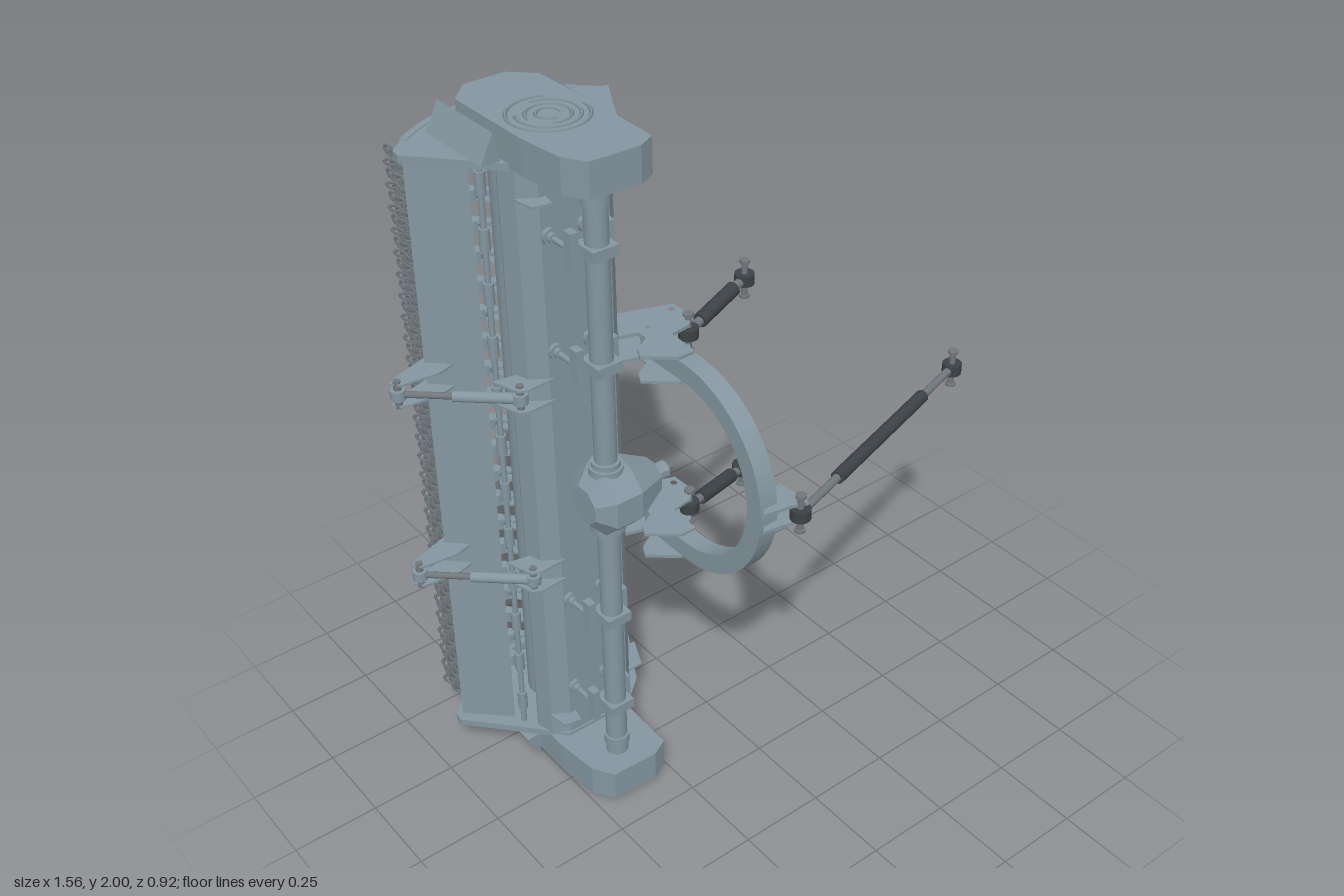
import * as THREE from 'three';
import { mergeGeometries } from 'three/addons/utils/BufferGeometryUtils.js';

const steel = new THREE.MeshStandardMaterial({ color: 0x8496a0 });
const facet = new THREE.MeshStandardMaterial({ color: 0x8496a0, flatShading: true });
const dark = new THREE.MeshStandardMaterial({ color: 0x3c4246 });
const rodGrey = new THREE.MeshStandardMaterial({ color: 0x70777b });
const V = (x, y, z) => new THREE.Vector3(x, y, z);
const ROTOR = { x: -0.375, z: -0.27 };

export function createModel() {
  const model = new THREE.Group();
  const add = (name, geo, mat = steel) => {
    const mesh = new THREE.Mesh(geo, mat);
    mesh.name = name;
    model.add(mesh);
  };
  // Outline in x and z with round holes, extruded from height y0 to y1
  const slab = (pts, y0, y1, holes = []) => {
    const shape = new THREE.Shape(pts.map(([x, z]) => new THREE.Vector2(x, -z)));
    shape.holes = holes.map(([x, z, r]) => new THREE.Path().absarc(x, -z, r, 0, Math.PI * 2, true));
    return new THREE.ExtrudeGeometry(shape, { depth: y1 - y0, bevelEnabled: false, curveSegments: 6 })
      .rotateX(-Math.PI / 2).translate(0, y0, 0);
  };
  const slabPair = (name, pts, y0, y1, holes) => {
    add(name + 'Upper', slab(pts, y0, y1, holes));
    add(name + 'Lower', slab(pts, 2 - y1, 2 - y0, holes));
  };
  // Round bar between two points
  const bar = (a, b, r, sides = 12) => {
    const d = b.clone().sub(a);
    const q = new THREE.Quaternion().setFromUnitVectors(V(0, 1, 0), d.clone().normalize());
    const mid = a.clone().add(b).multiplyScalar(0.5);
    return new THREE.CylinderGeometry(r, r, d.length(), sides).applyQuaternion(q).translate(mid.x, mid.y, mid.z);
  };
  const upright = (x, z, y0, y1, r, sides) => bar(V(x, y0, z), V(x, y1, z), r, sides);
  const box = (w, h, d, x, y, z) => new THREE.BoxGeometry(w, h, d).translate(x, y, z);
  const arc = (r, half, n = 24) => Array.from({ length: n + 1 }, (_, i) => {
    const a = (-half + (2 * half * i) / n) * Math.PI / 180;
    return [-0.375 + r * Math.sin(a), -0.031 - r * Math.cos(a)];
  });

  // Bent sheet hood and hinged door, open towards the back
  const sheet = (name, pts) => {
    const inner = pts.map(([x, z]) => [ROTOR.x + (x - ROTOR.x) * 0.96, z - 0.012]).reverse();
    add(name, slab([...pts, ...inner], 0.1, 1.9));
  };
  sheet('hood', [[-0.51, -0.14], [-0.495, -0.09], [-0.45, -0.06], [-0.25, -0.06], [-0.2, -0.116],
    [-0.182, -0.185], [-0.138, -0.285], [-0.128, -0.3], [-0.066, -0.308]]);
  sheet('door', [[-0.655, -0.32], [-0.6, -0.265], [-0.545, -0.21]]);

  // End plates and curved skids
  slabPair('endPlate', [...arc(0.42, 45), [-0.058, -0.32], [-0.11, -0.23], [-0.17, -0.12], [-0.25, -0.055],
    [-0.46, -0.055], [-0.56, -0.17], [-0.676, -0.3]], 1.89, 1.91);
  slabPair('skid', [...arc(0.424, 37), ...arc(0.405, 37).reverse()], 1.86, 1.912);

  // Belt covers with ring vents, side guards and bearing blocks
  slabPair('beltCover', [[-0.44, -0.38], [-0.32, -0.38], [-0.26, -0.32], [-0.255, -0.1], [-0.26, 0.13], [-0.31, 0.155],
    [-0.45, 0.15], [-0.485, 0.09], [-0.5, -0.04], [-0.5, -0.32]], 1.9, 1.995);
  slabPair('bearingBlock', [[-0.405, -0.435], [-0.345, -0.435], [-0.345, -0.37], [-0.405, -0.37]], 1.9, 1.916);
  for (const top of [true, false]) {
    const Y = (y) => (top ? y : 2 - y);
    const rings = [0.1, 0.078, 0.055, 0.03].map((r, i) => new THREE.TorusGeometry(r, 0.005, 4, 24, 5.2)
      .rotateX(Math.PI / 2).rotateY(i * 1.6).translate(-0.375, Y(1.995), -0.115));
    add('coverVent', mergeGeometries(rings));
    for (const [x0, tip, x1] of [[-0.25, -0.242, -0.195], [-0.507, -0.522, -0.56]]) {
      const s = new THREE.Shape([[x0, 1.91], [tip, 1.985], [x1, 1.91]].map(([x, y]) => new THREE.Vector2(x, Y(y))));
      add('sideGuard', new THREE.ExtrudeGeometry(s, { depth: 0.24, bevelEnabled: false }).translate(0, 0, -0.365));
    }
  }

  // Rotor with three rows of flails
  add('rotor', upright(ROTOR.x, ROTOR.z, 0.11, 1.89, 0.07, 24));
  const flails = [];
  for (let row = 0; row < 3; row++) {
    for (let i = 0; i < 20; i++) {
      const parts = [box(0.05, 0.007, 0.024, 0.09, 0.013, 0), box(0.05, 0.007, 0.024, 0.09, -0.013, 0),
        new THREE.CylinderGeometry(0.017, 0.017, 0.034, 8).translate(0.118, 0, 0),
        box(0.04, 0.016, 0.02, 0.137, 0, 0)];
      flails.push(mergeGeometries(parts).rotateY((15 + row * 120) * Math.PI / 180)
        .translate(ROTOR.x, 0.17 + i * 0.085 + row * 0.02, ROTOR.z));
    }
  }
  add('flails', mergeGeometries(flails));

  // Chain curtains along both edges of the opening
  const link = new THREE.TorusGeometry(0.0115, 0.004, 4, 8).scale(1, 1.7, 1).rotateX(Math.PI / 2);
  const turned = link.clone().rotateZ(Math.PI / 2);
  for (const [x, shift] of [[-0.087, 0], [-0.625, 0.015]]) {
    const links = [];
    for (let i = 0; i < 56; i++) {
      for (let k = 0; k < 5; k++) {
        links.push(((k + i) % 2 ? turned : link).clone().translate(x, 0.125 + shift + i * 0.0312, -0.341 - k * 0.0245));
      }
    }
    add('chainCurtain', mergeGeometries(links), rodGrey);
    add('chainRail', box(0.026, 1.78, 0.012, x, 1, -0.327));
  }

  // Cross tube with flanges, collars and clamps
  const TX = -0.378, TZ = 0.065;
  add('driveTube', upright(TX, TZ, 0.1, 1.9, 0.03, 20));
  for (const s of [-1, 1]) {
    add('tubeFlange', upright(TX, TZ, 1 + s * 0.84, 1 + s * 0.87, 0.036, 16));
    add('tubeSocket', upright(TX, TZ, 1 + s * 0.87, 1 + s * 0.91, 0.032, 16));
    add('gearboxCollar', upright(TX, TZ, 1 + s * 0.08, 1 + s * 0.1, 0.047, 16));
    add('gearboxNeck', upright(TX, TZ, 1 + s * 0.1, 1 + s * 0.115, 0.039, 16));
    for (const d of [0.4, 0.72]) {
      const y = 1 + s * d;
      const parts = [box(0.075, 0.03, 0.075, TX, y, TZ), box(0.12, 0.022, 0.02, TX, y, 0.03)];
      for (const x of [TX - 0.052, TX + 0.052]) {
        parts.push(box(0.022, 0.1, 0.03, x, y, 0.035), bar(V(x, y, 0.04), V(x, y, -0.065), 0.008, 8),
          bar(V(x, y, -0.035), V(x, y, -0.048), 0.014, 8), bar(V(x, y, -0.048), V(x, y, -0.065), 0.022, 8));
      }
      add('tubeClamp', mergeGeometries(parts));
    }
  }

  // Eight-sided gearbox with input shaft
  const gear = [[0, -0.45], [0.055, -0.45], [0.1, -0.41], [0.1, -0.33], [0.05, -0.235], [0.024, -0.235],
    [0.024, -0.19], [0, -0.19]].map(([r, x]) => new THREE.Vector2(r, x));
  add('gearbox', new THREE.LatheGeometry(gear, 8, Math.PI / 8).rotateZ(-Math.PI / 2).translate(0, 1, 0.063), facet);
  add('inputShaft', bar(V(-0.2, 1, 0.063), V(-0.17, 1, 0.063), 0.01, 8), rodGrey);

  // Half-ring hitch frame
  const ring = new THREE.Shape();
  ring.moveTo(-0.1, 1.315);
  ring.lineTo(0.08, 1.315);
  ring.absarc(0.08, 1, 0.315, Math.PI / 2, -Math.PI / 2, true);
  ring.lineTo(-0.1, 0.685);
  ring.lineTo(-0.1, 0.74);
  ring.lineTo(0.08, 0.74);
  ring.absarc(0.08, 1, 0.26, -Math.PI / 2, Math.PI / 2, false);
  ring.lineTo(-0.1, 1.26);
  add('hitchRing', new THREE.ExtrudeGeometry(ring, { depth: 0.055, bevelEnabled: false, curveSegments: 20 })
    .rotateY(-Math.PI / 2).translate(-0.085, 0, 0));

  // Lower hitch plates, top link plates and hood ears
  const hitch = [[-0.15, -0.21], [0.01, -0.155], [0.012, -0.08], [-0.02, -0.045], [-0.085, -0.035], [-0.09, 0.065],
    [-0.14, 0.065], [-0.215, 0.0], [-0.2, -0.03], [-0.15, -0.06], [-0.15, -0.095], [-0.2, -0.11]];
  const holes = [[-0.115, -0.1, 0.008], [-0.115, -0.05, 0.008], [-0.115, 0.0, 0.008], [-0.01, -0.135, 0.01]];
  slabPair('hitchPlateOuter', hitch, 1.317, 1.327, holes);
  slabPair('hitchPlateInner', hitch, 1.244, 1.252, holes);
  slabPair('topLinkPlate', [[-0.145, 0.41], [-0.085, 0.35], [-0.025, 0.335], [-0.02, 0.44], [-0.06, 0.425]], 1.022, 1.032);
  slabPair('hoodEar', [[-0.21, -0.1], [-0.165, -0.1], [-0.125, -0.19], [-0.18, -0.2]], 1.818, 1.824);
  slabPair('hoodEarSide', [[-0.5, -0.09], [-0.49, -0.03], [-0.44, -0.02], [-0.43, -0.07]], 1.818, 1.824);

  // Links with ball ends and cross pins
  const hitchLink = (name, a, b, r, t0, t1) => {
    const at = (t) => a.clone().lerp(b, t);
    add(name + 'Rod', bar(a, b, r * 0.62), rodGrey);
    add(name + 'Body', bar(at(t0), at(t1), r), dark);
    for (const p of [a, b]) {
      add(name + 'Ball', upright(p.x, p.z, p.y - 0.016, p.y + 0.016, 0.028, 16), dark);
      add(name + 'Pin', mergeGeometries([upright(p.x, p.z, p.y - 0.056, p.y + 0.056, 0.009),
        ...[-1, 1].map((s) => upright(p.x, p.z, p.y + s * 0.05, p.y + s * 0.058, 0.015))]), rodGrey);
    }
  };
  hitchLink('topLink', V(-0.038, 1, 0.43), V(0.75, 1, 0.187), 0.019, 0.22, 0.785);
  hitchLink('lowerLinkUpper', V(-0.006, 1.287, -0.068), V(0.252, 1.322, -0.148), 0.021, 0.2, 0.8);
  hitchLink('lowerLinkLower', V(-0.006, 0.713, -0.068), V(0.252, 0.682, -0.148), 0.021, 0.2, 0.8);

  // Door arms with their rams
  const arm = [[-0.775, -0.29], [-0.75, -0.305], [-0.63, -0.345], [-0.6, -0.27], [-0.65, -0.255], [-0.755, -0.265]];
  const mount = [[-0.57, -0.14], [-0.545, -0.06], [-0.52, -0.05], [-0.44, -0.055], [-0.48, -0.12]];
  for (const y of [1.254, 1.318]) {
    slabPair('doorArm', arm, y, y + 0.006);
    slabPair('ramMount', mount, y, y + 0.006);
  }
  for (const y of [1.29, 0.71]) {
    const a = V(-0.757, y, -0.282), b = V(-0.53, y, -0.075);
    add('ramRod', bar(a, b, 0.009), rodGrey);
    add('ramBody', bar(a.clone().lerp(b, 0.45), b, 0.015));
    for (const p of [a, b]) {
      add('ramEye', upright(p.x, p.z, y - 0.014, y + 0.014, 0.02));
      add('ramPin', upright(p.x, p.z, y - 0.04, y + 0.04, 0.01), rodGrey);
    }
  }

  // Door hinge in the gap beside the hood
  const knuckles = [upright(-0.53, -0.185, 0.11, 1.89, 0.008, 8)];
  for (let i = 0; i < 12; i++) knuckles.push(upright(-0.53, -0.185, 0.16 + i * 0.15, 0.22 + i * 0.15, 0.014, 8));
  add('doorHinge', mergeGeometries(knuckles));

  return model;
}
